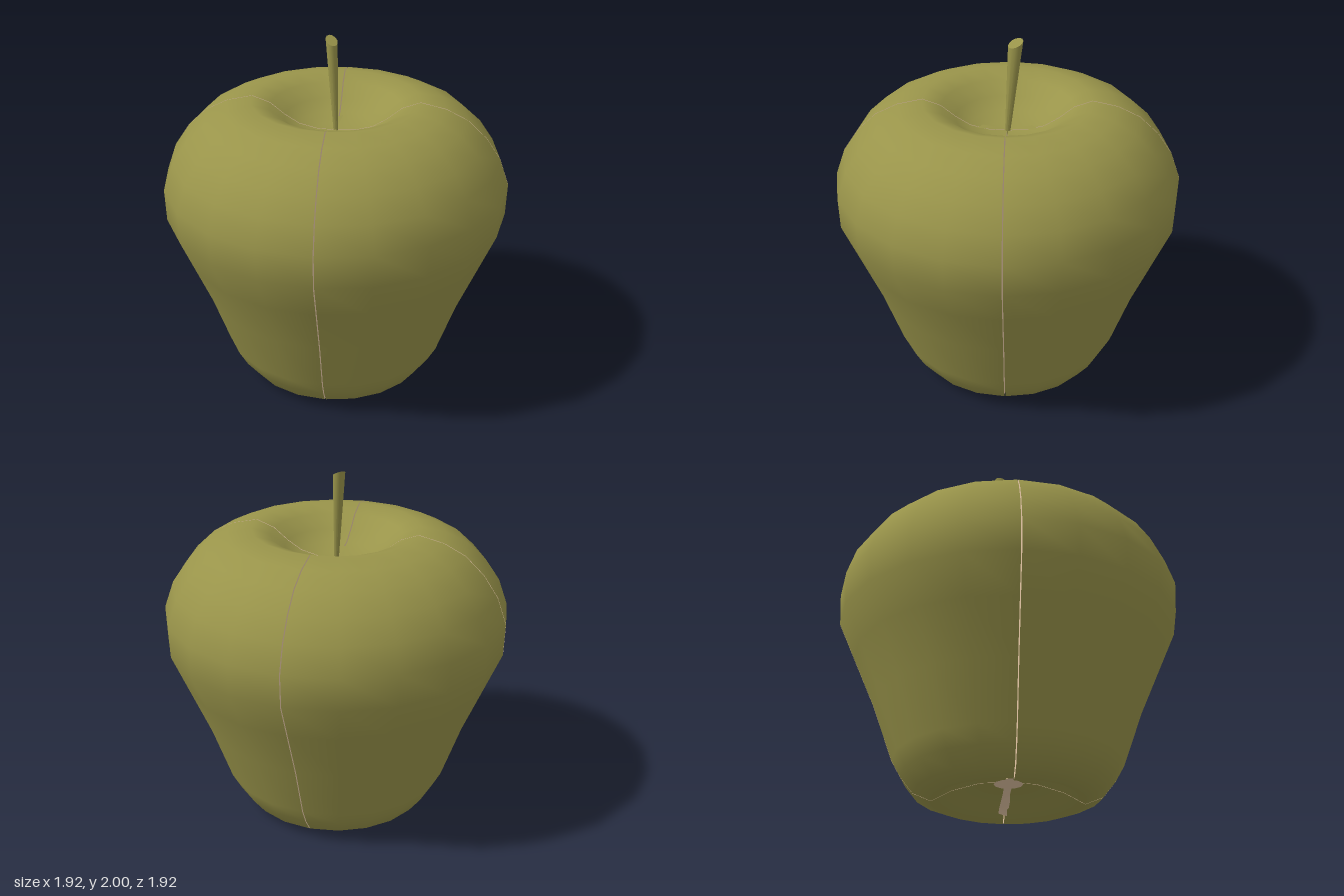
import * as THREE from 'three';
import { toCreasedNormals } from 'three/addons/utils/BufferGeometryUtils.js';

// Half section of the fruit (radius, height), from bottom centre round to top centre
const PROFILE = [
  [0, 0.115], [0.15, 0.105], [0.3, 0.06], [0.41, 0], [0.51, 0.04], [0.58, 0.13], [0.63, 0.22],
  [0.74, 0.53], [0.86, 0.81], [0.95, 1.02], [0.957, 1.2], [0.905, 1.35], [0.825, 1.47],
  [0.72, 1.57], [0.6, 1.63], [0.46, 1.662], [0.36, 1.625], [0.28, 1.56], [0.2, 1.51],
  [0.1, 1.485], [0, 1.48],
].map(([r, y]) => new THREE.Vector2(r, y));
const GAP = 0.003;

// Ribbon across the centre, mirrored by a half turn: stations are [distance, y, half width]
function ribbon(stations, alongZ) {
  const pos = [], index = [];
  const line = [...stations].reverse().map(([d, y, w]) => [-d, y, w]).concat(stations);
  line.forEach(([d, y, w], i) => {
    const slant = d * 0.1;
    for (const s of [-1, 1]) {
      const along = d + s * slant, across = s * w;
      if (alongZ) pos.push(across, y, along);
      else pos.push(along, y, across);
    }
    if (i) index.push(2 * i - 2, 2 * i - 1, 2 * i, 2 * i - 1, 2 * i + 1, 2 * i);
  });
  const g = new THREE.BufferGeometry();
  g.setAttribute('position', new THREE.Float32BufferAttribute(pos, 3));
  g.setIndex(index);
  g.computeVertexNormals();
  return g;
}

export function createModel() {
  const skin = new THREE.MeshStandardMaterial({ color: 0x99944a, side: THREE.DoubleSide });
  skin.name = 'olive skin';
  const flesh = new THREE.MeshStandardMaterial({ color: 0xe6c8a6, side: THREE.DoubleSide });
  flesh.name = 'cream flesh';

  const model = new THREE.Group();
  model.name = 'apple';
  const add = (parent, name, geometry, material) => {
    const mesh = new THREE.Mesh(geometry, material);
    mesh.name = name;
    parent.add(mesh);
    return mesh;
  };

  // Four quarters, each a curved skin with two flat cut faces
  const skinGeo = new THREE.LatheGeometry(PROFILE, 5, 0, Math.PI / 2);
  const cutGeo = new THREE.ShapeGeometry(new THREE.Shape(PROFILE));
  for (let q = 0; q < 4; q++) {
    const turn = new THREE.Group();
    turn.name = 'quarter' + (q + 1);
    turn.rotation.y = q * Math.PI / 2;
    const slice = new THREE.Group();
    slice.name = 'slice';
    slice.position.set(GAP, 0, GAP);
    add(slice, 'skin', skinGeo, skin);
    add(slice, 'cutFaceA', cutGeo, flesh);
    add(slice, 'cutFaceB', cutGeo, flesh).rotation.y = -Math.PI / 2;
    turn.add(slice);
    model.add(turn);
  }

  // Exposed flesh in the bottom hollow
  add(model, 'bottomFlesh', ribbon([[0.06, 0.104, 0.022], [0.15, 0.098, 0.02], [0.3, 0.054, 0.032], [0.34, 0.03, 0.035]], false), flesh);
  const core = add(model, 'bottomCore', new THREE.CircleGeometry(0.08, 12), flesh);
  core.rotation.x = Math.PI / 2;
  core.position.y = 0.102;

  // Small raised skin flaps in the top hollow
  add(model, 'topFlaps', ribbon([[0.01, 1.488, 0.004], [0.15, 1.502, 0.022]], true), skin);

  // Leaning stem that widens upward to a slanted end
  const stemGeo = new THREE.CylinderGeometry(1, 1, 1, 12, 1);
  const p = stemGeo.attributes.position;
  for (let i = 0; i < p.count; i++) {
    const t = p.getY(i) + 0.5;
    const dx = p.getX(i) * (0.012 + 0.021 * t), dz = p.getZ(i) * (0.014 + 0.027 * t);
    p.setXYZ(i, dx - 0.028 * t, 1.46 + 0.52 * t - t * (0.42 * dx + 0.36 * dz), dz - 0.043 * t);
  }
  add(model, 'stem', toCreasedNormals(stemGeo, 0.8), skin);

  return model;
}
